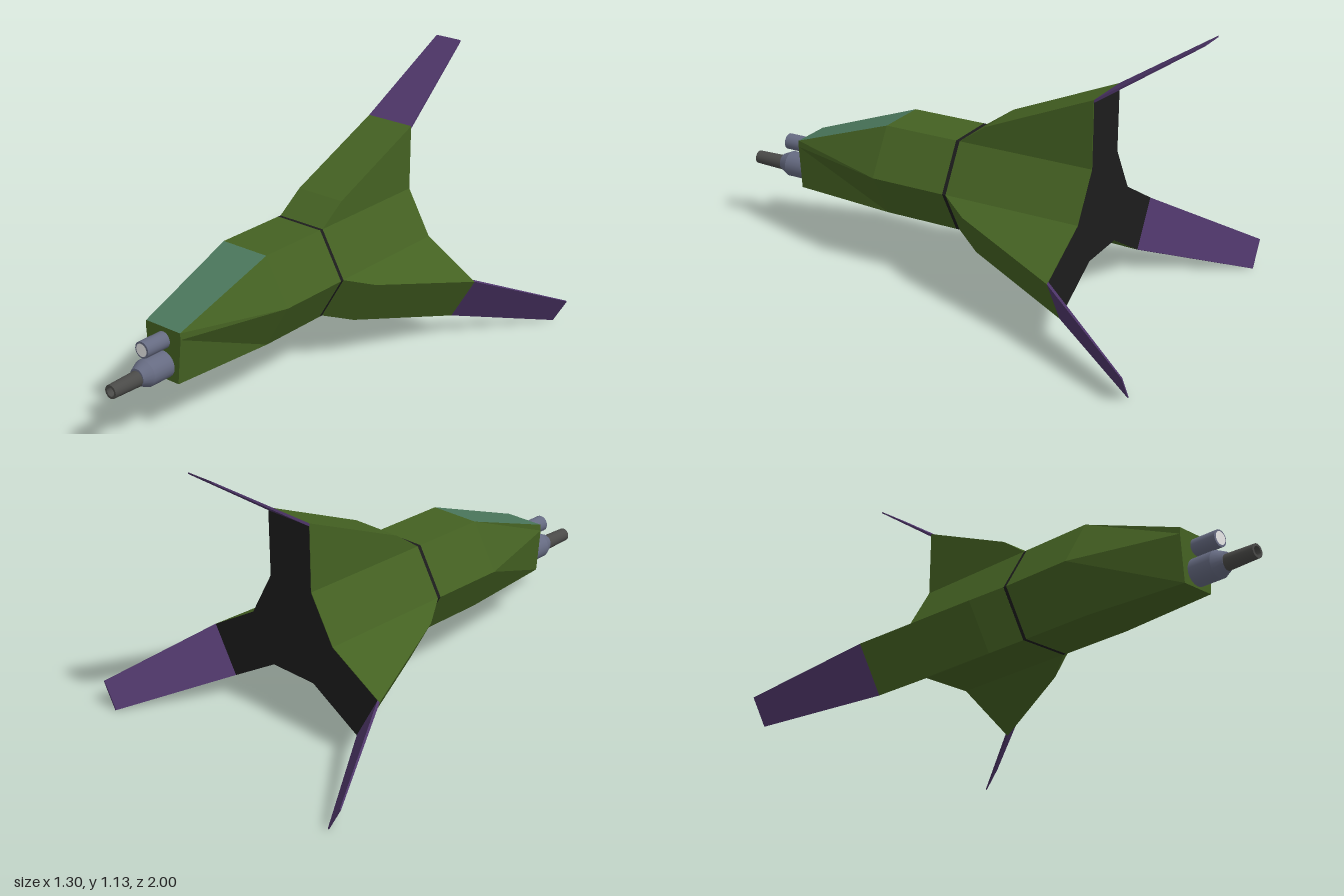
import * as THREE from 'three';

const mat = (name, color) => {
  const m = new THREE.MeshStandardMaterial({ color });
  m.name = name;
  return m;
};

// Flat-shaded skin between cross-sections, each { z, p: [[x, y], ...] }, counterclockwise from the
// front and ordered back to front. keep(i, s) selects the side faces; cap closes both ends.
function loft(sections, keep = () => true, cap = false) {
  const pos = [];
  const tri = (...v) => v.forEach((q) => pos.push(...q));
  const rings = sections.map((s) => s.p.map(([x, y]) => [x, y, s.z]));
  for (let s = 0; s < rings.length - 1; s++) {
    const a = rings[s], b = rings[s + 1], n = a.length;
    for (let i = 0; i < n; i++) {
      if (!keep(i, s)) continue;
      const j = (i + 1) % n;
      tri(a[i], a[j], b[j]);
      tri(a[i], b[j], b[i]);
    }
  }
  if (cap) {
    const a = rings[0], b = rings[rings.length - 1];
    for (let i = 1; i < a.length - 1; i++) {
      tri(a[0], a[i + 1], a[i]);
      tri(b[0], b[i], b[i + 1]);
    }
  }
  const g = new THREE.BufferGeometry();
  g.setAttribute('position', new THREE.Float32BufferAttribute(pos, 3));
  g.computeVertexNormals();
  return g;
}

export function createModel() {
  const green = mat('hull green', 0x446122);
  const glass = mat('canopy teal', 0x4b775c);
  const purple = mat('fin tip purple', 0x4e3669);
  const black = mat('engine black', 0x1c1c1c);
  const steel = mat('gun steel', 0x666b82);
  const dark = mat('barrel grey', 0x4a4a48);
  const white = mat('lens white', 0xf4f4f4);

  const model = new THREE.Group();
  const ship = new THREE.Group(); // origin on the hull axis
  ship.name = 'ship';
  ship.position.y = 0.42;
  model.add(ship);
  const add = (name, geo, material, parent = ship) => {
    const m = new THREE.Mesh(geo, material);
    m.name = name;
    parent.add(m);
    return m;
  };

  const W = 0.107, R = 0.213, H = 0.185, REAR = -0.605;
  const hex = [[R, 0], [W, H], [-W, H], [-R, 0], [-W, -H], [W, -H]];
  const nose = [[0.087, 0], [0.085, 0.026], [-0.085, 0.026], [-0.087, 0], [-0.07, -H], [0.07, -H]];

  // Forward hull with its sloping canopy face
  const front = [{ z: -0.03, p: hex }, { z: 0.285, p: hex }, { z: 0.73, p: nose }];
  const isCanopy = (i, s) => s === 1 && i === 1;
  add('frontHull', loft(front, (i, s) => !isCanopy(i, s), true), green);
  add('canopy', loft(front, isCanopy), glass);

  // Dark seam and rear hull
  add('hullSeam', loft([{ z: -0.045, p: hex }, { z: -0.03, p: hex }]), black);
  add('rearHull', loft([{ z: REAR, p: hex }, { z: -0.045, p: hex }], undefined, true), green);

  // Three fins around the hull axis, each with a thin swept tip
  const profile = new THREE.Shape([[-0.045, 0.1], [-0.045, H], [-0.16, 0.266], [REAR, 0.455], [REAR, 0.1]]
    .map(([z, y]) => new THREE.Vector2(z, y)));
  const finGeo = new THREE.ExtrudeGeometry(profile, { depth: 2 * W, bevelEnabled: false })
    .rotateY(-Math.PI / 2).translate(W, 0, 0);
  const plate = (w, y0, y1) => [[w, y0], [w, y1], [-w, y1], [-w, y0]];
  const tipGeo = loft([
    { z: -1, p: plate(0.061, 0.71, 0.716) },
    { z: REAR, p: plate(W, 0.443, 0.455) },
  ], undefined, true);
  for (let k = 0; k < 3; k++) {
    const fin = new THREE.Group();
    fin.name = ['topFin', 'rightFin', 'leftFin'][k];
    fin.rotation.z = (k * Math.PI * 2) / 3;
    add('finBody', finGeo, green, fin);
    add('finTip', tipGeo, purple, fin);
    ship.add(fin);
  }

  // Three-armed engine plate closing the rear
  const outline = [];
  for (let k = 0; k < 3; k++) {
    const c = new THREE.Vector2();
    for (const [x, y] of [[W, H], [W, 0.455], [-W, 0.455], [-W, H]]) {
      outline.push(new THREE.Vector2(x, y).rotateAround(c, (k * Math.PI * 2) / 3));
    }
  }
  add('enginePlate', new THREE.ShapeGeometry(new THREE.Shape(outline)).rotateY(Math.PI), black)
    .position.z = REAR - 0.002;

  // Nose gun and the lamp above it, turned from [radius, z] profiles
  const turned = (name, pts, y, material) => add(name, new THREE.LatheGeometry(
    pts.map(([r, z]) => new THREE.Vector2(r, z)), 20).rotateX(Math.PI / 2), material).position.y = y;
  const flat = (pts) => pts.flatMap((p, i) => (i && i < pts.length - 1 ? [p, p] : [p])); // hard edges
  turned('gunHousing', flat([[0.053, 0.72], [0.053, 0.83], [0.034, 0.87], [0, 0.87]]), -0.124, steel);
  turned('gunBarrel', flat([[0.031, 0.86], [0.027, 1], [0.018, 1], [0.018, 0.93], [0, 0.93]]), -0.129, dark);
  turned('lampHousing', flat([[0.033, 0.72], [0.033, 0.84], [0, 0.84]]), -0.026, steel);
  add('lampLens', new THREE.CircleGeometry(0.026, 20), white).position.set(0, -0.026, 0.842);

  return model;
}
